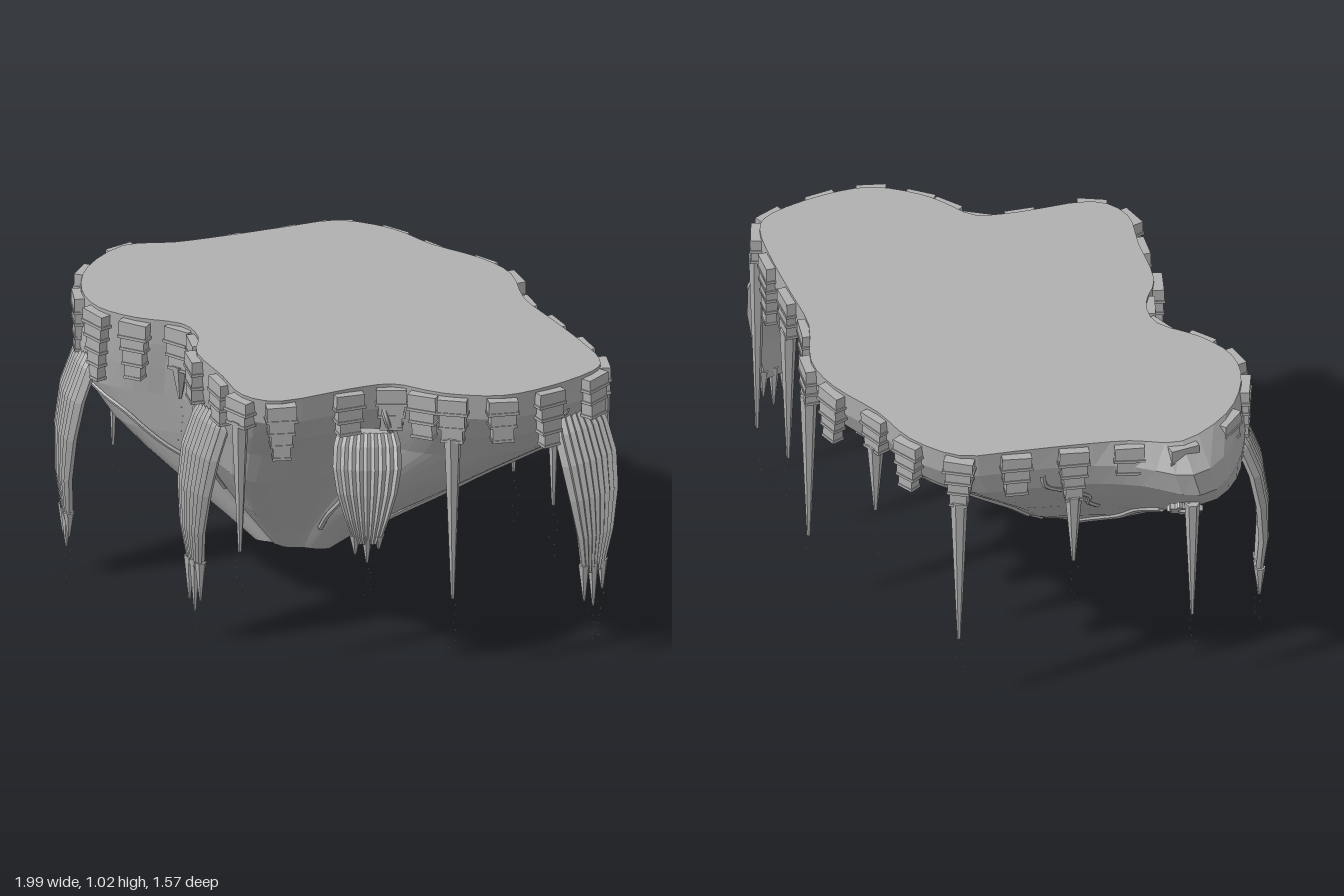
import * as THREE from 'three';
import { mergeGeometries } from 'three/addons/utils/BufferGeometryUtils.js';

const stone = new THREE.MeshStandardMaterial({ color: 0xb0b0b0, flatShading: true, side: THREE.DoubleSide });
stone.name = 'stone grey';

// plateau edge: x, z, blocks in the hanging corbel, lowest y of its spike (0 = none)
const RIM = [
  [-0.21, -0.74, 4, 0.27], [-0.02, -0.72, 4, 0], [0.14, -0.63, 3, 0.62], [0.33, -0.56, 4, 0], [0.46, -0.46, 3, 0.3],
  [0.55, -0.28, 4, 0], [0.68, -0.14, 3, 0.34], [0.82, 0.01, 5, 0], [0.92, 0.14, 2, 0.2], [0.92, 0.24, 3, 0],
  [0.81, 0.4, 4, 0], [0.68, 0.51, 3, 0], [0.52, 0.54, 3, 0.28], [0.42, 0.53, 3, 0], [0.3, 0.51, 3, 0],
  [0.17, 0.59, 3, 0], [-0.02, 0.74, 4, 0], [-0.16, 0.72, 2, 0.45], [-0.26, 0.59, 3, 0], [-0.39, 0.43, 3, 0],
  [-0.42, 0.3, 4, 0], [-0.5, 0.21, 3, 0.75], [-0.66, 0.2, 4, 0], [-0.8, 0.15, 5, 0], [-0.89, 0.03, 4, 0],
  [-0.92, -0.16, 4, 0], [-0.85, -0.36, 2, 0], [-0.69, -0.43, 2, 0], [-0.53, -0.53, 4, 0.55], [-0.37, -0.64, 3, 0],
];
// body rings: y, scale x, scale z behind, scale z in front, shift in x, bulge at the back right corner
const RINGS = [
  [1.02, 1, 1, 1, 0, 0], [0.93, 1, 0.99, 0.98, 0, 0.09], [0.84, 0.985, 0.94, 0.88, -0.02, 0.1],
  [0.74, 0.93, 0.8, 0.74, -0.05, 0.07], [0.6, 0.74, 0.6, 0.6, -0.08, 0.03], [0.5, 0.59, 0.46, 0.46, -0.075, 0],
  [0.4, 0.43, 0.33, 0.32, -0.065, 0], [0.3, 0.27, 0.18, 0.17, -0.045, 0], [0.21, 0.14, 0.035, 0.05, -0.02, 0],
];
const CX = -0.15, CZ = 0.1, N = RIM.length;
const edge = new THREE.CatmullRomCurve3(RIM.map(([x, z]) => new THREE.Vector3(x, 0, z)), true, 'catmullrom', 0.5);

function rand(seed) {
  return () => { seed = (seed * 16807) % 2147483647; return seed / 2147483647; };
}
const rnd = rand(77);

function outward(i) {
  const t = edge.getTangent((((i / N) % 1) + 1) % 1);
  return new THREE.Vector3(t.z, 0, -t.x).normalize();
}

// point on the body wall beside rim index i at height y
function wall(i, y) {
  let k = 0;
  while (k < RINGS.length - 2 && RINGS[k + 1][0] > y) k++;
  const a = RINGS[k], b = RINGS[k + 1], f = THREE.MathUtils.clamp((a[0] - y) / (a[0] - b[0]), 0, 1);
  const [, sx, back, front, shift, bulge] = a.map((v, j) => v + (b[j] - v) * f);
  const p = edge.getPoint((((i / N) % 1) + 1) % 1);
  const near = bulge * Math.exp(-((p.x + 0.9) ** 2 + (p.z + 0.34) ** 2) / 0.06);
  const sz = p.z < CZ ? back : front;
  return new THREE.Vector3(CX + (p.x - CX) * sx + shift - near * 0.75, y, CZ + (p.z - CZ) * sz - near * 0.6);
}

// skin through equal loops from top to bottom, with fan caps
function loft(loops, capCentre) {
  const n = loops[0].length, pos = [], idx = [];
  loops.forEach(l => l.forEach(p => pos.push(p.x, p.y, p.z)));
  for (let r = 0; r < loops.length - 1; r++) for (let i = 0; i < n; i++) {
    const a = r * n + i, b = r * n + (i + 1) % n;
    idx.push(a, b, b + n, a, b + n, a + n);
  }
  const mean = l => l.reduce((s, p) => s.add(p), new THREE.Vector3()).divideScalar(n);
  [capCentre || mean(loops[0]), mean(loops[loops.length - 1])].forEach((c, end) => {
    const k = pos.length / 3, base = end ? (loops.length - 1) * n : 0;
    pos.push(c.x, c.y, c.z);
    for (let i = 0; i < n; i++) {
      const a = base + i, b = base + (i + 1) % n;
      end ? idx.push(k, a, b) : idx.push(k, b, a);
    }
  });
  const g = new THREE.BufferGeometry();
  g.setAttribute('position', new THREE.Float32BufferAttribute(pos, 3));
  g.setIndex(idx);
  g.computeVertexNormals();
  return g;
}

function add(group, name, geometry) {
  const m = new THREE.Mesh(geometry, stone);
  m.name = name;
  group.add(m);
  return m;
}

function tube(points, radius) {
  return new THREE.TubeGeometry(new THREE.CatmullRomCurve3(points), 18, radius, 6);
}

// slim spike hanging from p down to y = bottom
function spike(p, bottom, radius) {
  const h = p.y - bottom;
  return new THREE.CylinderGeometry(radius, radius * 0.22, h, 6).translate(p.x, p.y - h / 2, p.z);
}

// scattered drops below a tip
function drops(x, y, z, length, count) {
  return Array.from({ length: count }, (_, i) =>
    new THREE.TetrahedronGeometry(0.004).translate(
      x + (rnd() - 0.5) * 0.03, Math.max(0.004, y - length * (i + 1) / count), z + (rnd() - 0.5) * 0.03));
}

// ribbed curtain that leans outward and ends in three tips
function curtain(group, x, z, nx, nz, top, bottom, tip, half) {
  const n = new THREE.Vector3(nx, 0, nz).normalize(), t = new THREE.Vector3(-n.z, 0, n.x);
  const at = (s, d, y) => new THREE.Vector3(x, y, z).addScaledVector(t, s).addScaledVector(n, d);
  // fraction down, width, outward offset
  const profile = [[0, 0.85, -0.075], [0.1, 0.97, -0.045], [0.28, 1, -0.005], [0.5, 0.88, 0.02], [0.75, 0.64, 0.03], [1, 0.38, 0.02]];
  const ribs = 9;
  const loops = profile.map(([f, w, o]) => {
    const y = top + (bottom - top) * f, loop = [];
    for (let i = 0; i <= ribs * 2; i++) {
      const s = i / ribs - 1;
      loop.push(at(s * half * w, o + 0.025 * Math.sqrt(1 - s * s) * w + (i % 2 ? 0.012 : 0) * w, y));
    }
    loop.push(at(half * w * 0.9, o - 0.015, y), at(-half * w * 0.9, o - 0.015, y));
    return loop;
  });
  add(group, 'ribbedCurtain', loft(loops));
  const tips = [-0.34, 0, 0.34].map((s, i) => {
    const p = at(s * half, 0.02, bottom + 0.03);
    return spike(p, tip + [0.05, 0, 0.03][i], 0.02);
  });
  add(group, 'curtainTips', mergeGeometries(tips));
  const e = at(0, 0.02, tip);
  add(group, 'curtainDrops', mergeGeometries(drops(e.x, e.y, e.z, 0.12, 7)));
  // short stems from the rim to both upper corners
  [-0.7, 0.7].forEach(s => add(group, 'curtainStem', tube(
    [at(s * half * 0.6, -0.06, 0.95), at(s * half * 0.8, -0.04, 0.9), at(s * half, -0.07, top - 0.01)], 0.01)));
}

// toothed wheel lying against the wall
function gear(group, i, y, r) {
  const shape = new THREE.Shape();
  for (let k = 0; k < 40; k++) {
    const a = k / 40 * Math.PI * 2, q = k % 4 < 2 ? r : r * 0.78;
    shape[k ? 'lineTo' : 'moveTo'](Math.cos(a) * q, Math.sin(a) * q);
  }
  shape.holes.push(new THREE.Path().absarc(0, 0, r * 0.4, 0, Math.PI * 2, true));
  const g = new THREE.ExtrudeGeometry(shape, { depth: 0.02, bevelEnabled: false, curveSegments: 6 });
  const m = add(group, 'gear', g), n = outward(i);
  m.position.copy(wall(i, y)).addScaledVector(n, 0.004);
  m.lookAt(m.position.clone().add(n).add(new THREE.Vector3(0, -0.9, 0)));
}

export function createModel() {
  const group = new THREE.Group();
  group.name = 'floatingIsland';

  // rock body with a flat top
  const loops = RINGS.map(([y]) => Array.from({ length: 90 }, (_, k) => wall(k / 3, y)));
  add(group, 'rockBody', loft(loops, new THREE.Vector3(CX, 1.02, CZ)));

  // stepped corbels around the rim, some with spikes
  RIM.forEach(([x, z, levels, low], i) => {
    const n = outward(i), parts = [], turn = Math.atan2(n.x, n.z);
    let y = 1.008;
    for (let k = 0; k < levels; k++) {
      const h = 0.042 + 0.012 * rnd(), w = 0.1 - k * 0.014, d = 0.05 - k * 0.003;
      parts.push(new THREE.BoxGeometry(w, h, d).rotateZ((rnd() - 0.5) * 0.1).rotateY(turn)
        .translate(x + n.x * 0.005, y - h / 2, z + n.z * 0.005));
      parts.push(new THREE.BoxGeometry(w * 1.08, 0.01, d * 1.12).rotateY(turn)
        .translate(x + n.x * 0.005, y - h, z + n.z * 0.005));
      y -= h;
    }
    add(group, 'corbel', mergeGeometries(parts));
    if (low) {
      const p = new THREE.Vector3(x + n.x * 0.008, y + 0.01, z + n.z * 0.008);
      add(group, 'hangingSpike', spike(p, low, 0.029));
      add(group, 'spikeDrops', mergeGeometries(drops(p.x, low, p.z, Math.min(0.18, low), 6)));
    }
  });

  // spike below the bulging corner
  const corner = wall(26.2, 0.76);
  add(group, 'hangingSpike', spike(corner, 0.3, 0.026));
  add(group, 'spikeDrops', mergeGeometries(drops(corner.x, 0.3, corner.z, 0.16, 6)));

  // four large curtains
  curtain(group, -0.91, 0.08, -0.88, 0.47, 0.85, 0.22, 0.11, 0.115);
  curtain(group, -0.36, 0.5, -0.7, 0.7, 0.86, 0.28, 0.12, 0.105);
  curtain(group, 0.24, 0.6, 0.24, 0.97, 0.85, 0.48, 0.41, 0.115);
  curtain(group, 0.92, 0.28, 0.84, 0.54, 0.88, 0.32, 0.19, 0.12);

  // roots creeping down the rock: rim index and height, start to end, thickness
  [[7.5, 0.9, 7, 0.42, 0.013], [6.8, 0.86, 5, 0.5, 0.009], [8.2, 0.85, 8.8, 0.3, 0.013], [4.5, 0.85, 3, 0.5, 0.009],
    [1, 0.9, 0.3, 0.42, 0.012], [28.6, 0.9, 28, 0.6, 0.01], [3, 0.8, 1, 0.3, 0.011], [24, 0.8, 21.5, 0.5, 0.009],
    [14, 0.75, 13, 0.32, 0.01], [18, 0.8, 19, 0.45, 0.011], [26.5, 0.6, 27, 0.25, 0.012],
    [7, 0.4, 5.5, 0.24, 0.016], [2, 0.36, 1, 0.23, 0.016],
  ].forEach(([i0, y0, i1, y1, r]) => add(group, 'root', tube(Array.from({ length: 7 }, (_, k) => {
    const f = k / 6;
    return wall(i0 + (i1 - i0) * f + Math.sin(f * 9) * 0.14, y0 + (y1 - y0) * f);
  }), r)));

  gear(group, 26.3, 0.72, 0.06);
  gear(group, 5.15, 0.68, 0.06);
  return group;
}
